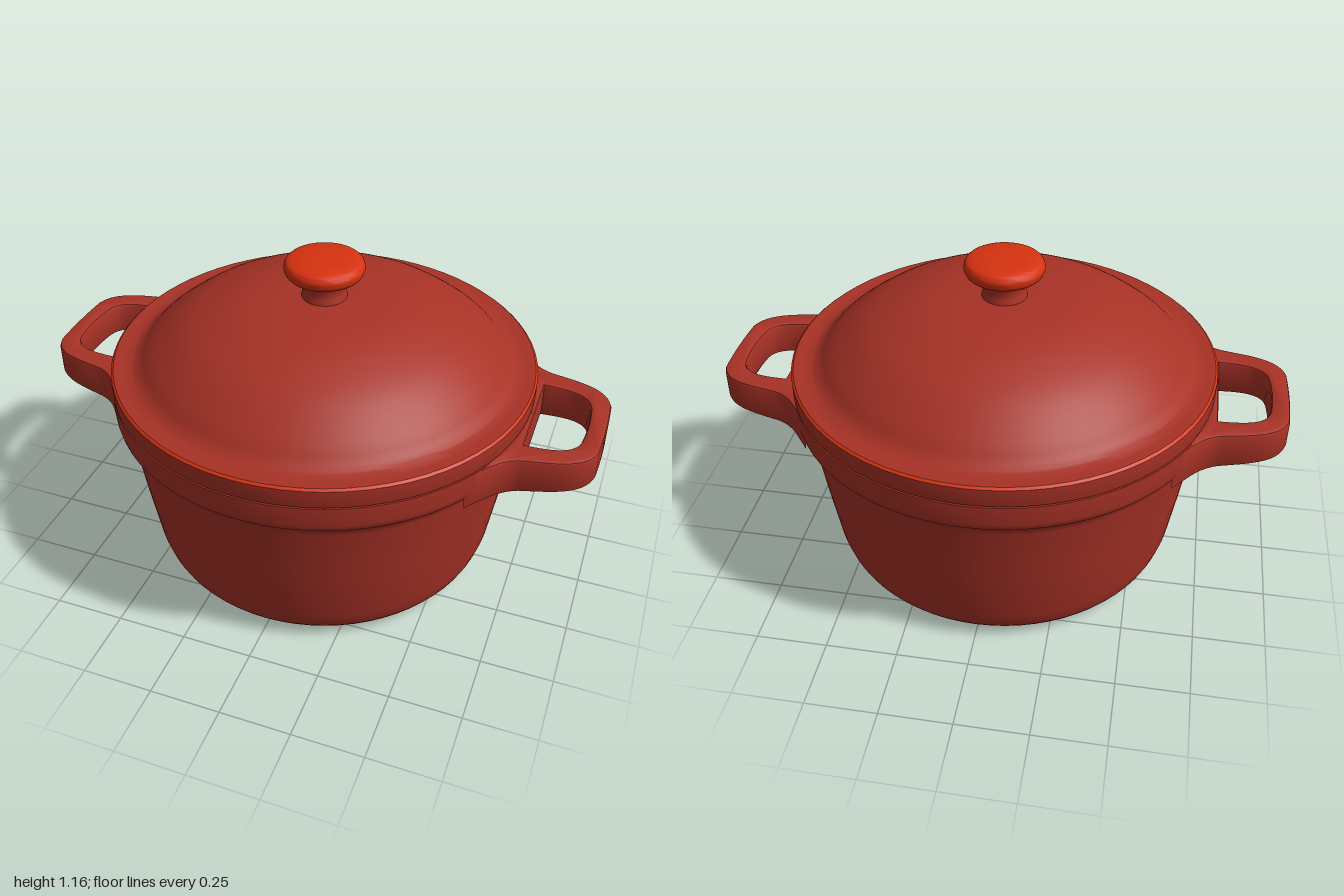
import * as THREE from 'three';
import { toCreasedNormals } from 'three/addons/utils/BufferGeometryUtils.js';

const enamel = new THREE.MeshStandardMaterial({ color: 0xa83226 });
enamel.name = 'red enamel';
const bright = new THREE.MeshStandardMaterial({ color: 0xd6320f });
bright.name = 'bright orange red';

const vec = (pts) => pts.map(([x, y]) => new THREE.Vector2(x, y));

// Surface of revolution with sharp edges kept
function turned(name, pts, material, segments = 72) {
  const geo = toCreasedNormals(new THREE.LatheGeometry(vec(pts), segments), 0.6);
  const mesh = new THREE.Mesh(geo, material);
  mesh.name = name;
  return mesh;
}

// Smooth run of profile points through a few guides
const smooth = (pts, n) => new THREE.SplineCurve(vec(pts)).getPoints(n).map((p) => [p.x, p.y]);

// Loop handle lying flat, reaching out along +x
function handleGeometry() {
  const top = 0.71, depth = 0.115, bevel = 0.012;
  const s = new THREE.Shape();
  s.moveTo(0.62, -0.405);
  s.bezierCurveTo(0.68, -0.34, 0.7, -0.285, 0.77, -0.265);
  s.bezierCurveTo(0.87, -0.245, 0.97, -0.235, 0.995, -0.14);
  s.quadraticCurveTo(1.005, 0, 0.995, 0.14);
  s.bezierCurveTo(0.97, 0.235, 0.87, 0.245, 0.77, 0.265);
  s.bezierCurveTo(0.7, 0.285, 0.68, 0.34, 0.62, 0.405);
  s.lineTo(0.7, 0.2);
  s.lineTo(0.7, -0.2);
  s.closePath();

  // Finger opening
  const hole = new THREE.Path();
  hole.moveTo(0.757, -0.178);
  hole.lineTo(0.757, 0.178);
  hole.bezierCurveTo(0.83, 0.175, 0.915, 0.175, 0.93, 0.1);
  hole.quadraticCurveTo(0.945, 0, 0.93, -0.1);
  hole.bezierCurveTo(0.915, -0.175, 0.83, -0.175, 0.757, -0.178);
  s.holes.push(hole);

  const geo = new THREE.ExtrudeGeometry(s, {
    depth: depth - 2 * bevel, curveSegments: 12,
    bevelEnabled: true, bevelThickness: bevel, bevelSize: bevel, bevelOffset: -bevel, bevelSegments: 2,
  });
  geo.rotateX(Math.PI / 2);
  geo.translate(0, top - bevel, 0);

  // Underside gets thicker towards the pot
  const p = geo.attributes.position;
  for (let i = 0; i < p.count; i++) {
    if (p.getY(i) < top - depth / 2) {
      p.setY(i, p.getY(i) - 0.022 * THREE.MathUtils.clamp((1 - p.getX(i)) / 0.28, 0, 1));
    }
  }
  return toCreasedNormals(geo, 0.7);
}

export function createModel() {
  const model = new THREE.Group();
  model.name = 'casserole pot';

  // Pot: base, tapered wall, flared rim, then the inside
  model.add(turned('pot', [
    [0, 0], [0.53, 0],
    ...smooth([[0.545, 0.002], [0.585, 0.022], [0.617, 0.06], [0.637, 0.12]], 8),
    [0.672, 0.34], [0.703, 0.56],
    ...smooth([[0.707, 0.58], [0.722, 0.598], [0.742, 0.618]], 4),
    [0.747, 0.64], [0.747, 0.71], [0.68, 0.71], [0.665, 0.6], [0.59, 0.08], [0, 0.05],
  ], enamel));

  // Two side handles
  const handleGeo = handleGeometry();
  for (const [name, turn] of [['leftHandle', 0], ['rightHandle', Math.PI]]) {
    const handle = new THREE.Mesh(handleGeo, enamel);
    handle.name = name;
    handle.rotation.y = turn;
    model.add(handle);
  }

  // Lid: flat rim, shallow groove and dome
  const lid = new THREE.Group();
  lid.name = 'lid';
  lid.add(turned('lidRim', [[0.66, 0.714], [0.745, 0.714], [0.747, 0.72], [0.747, 0.779]], enamel));
  lid.add(turned('lidEdge', [[0.747, 0.779], [0.739, 0.786]], bright));
  lid.add(turned('lidDome', [
    [0.739, 0.786], [0.71, 0.785],
    ...smooth([[0.675, 0.785], [0.645, 0.803], [0.6, 0.848], [0.5, 0.921], [0.4, 0.967],
      [0.3, 0.998], [0.2, 1.014], [0.1, 1.02], [0, 1.021]], 28),
  ], enamel));

  // Knob on a waisted stem
  lid.add(turned('knobStem', [
    [0.08, 1.01], [0.078, 1.03], ...smooth([[0.073, 1.04], [0.073, 1.065], [0.082, 1.085], [0.105, 1.095]], 8),
  ], enamel, 40));
  lid.add(turned('knob', [
    [0.07, 1.09], ...smooth([[0.1, 1.093], [0.127, 1.104], [0.138, 1.127], [0.13, 1.15], [0.105, 1.16]], 14),
    [0.06, 1.162], [0, 1.163],
  ], bright, 40));
  model.add(lid);

  return model;
}
